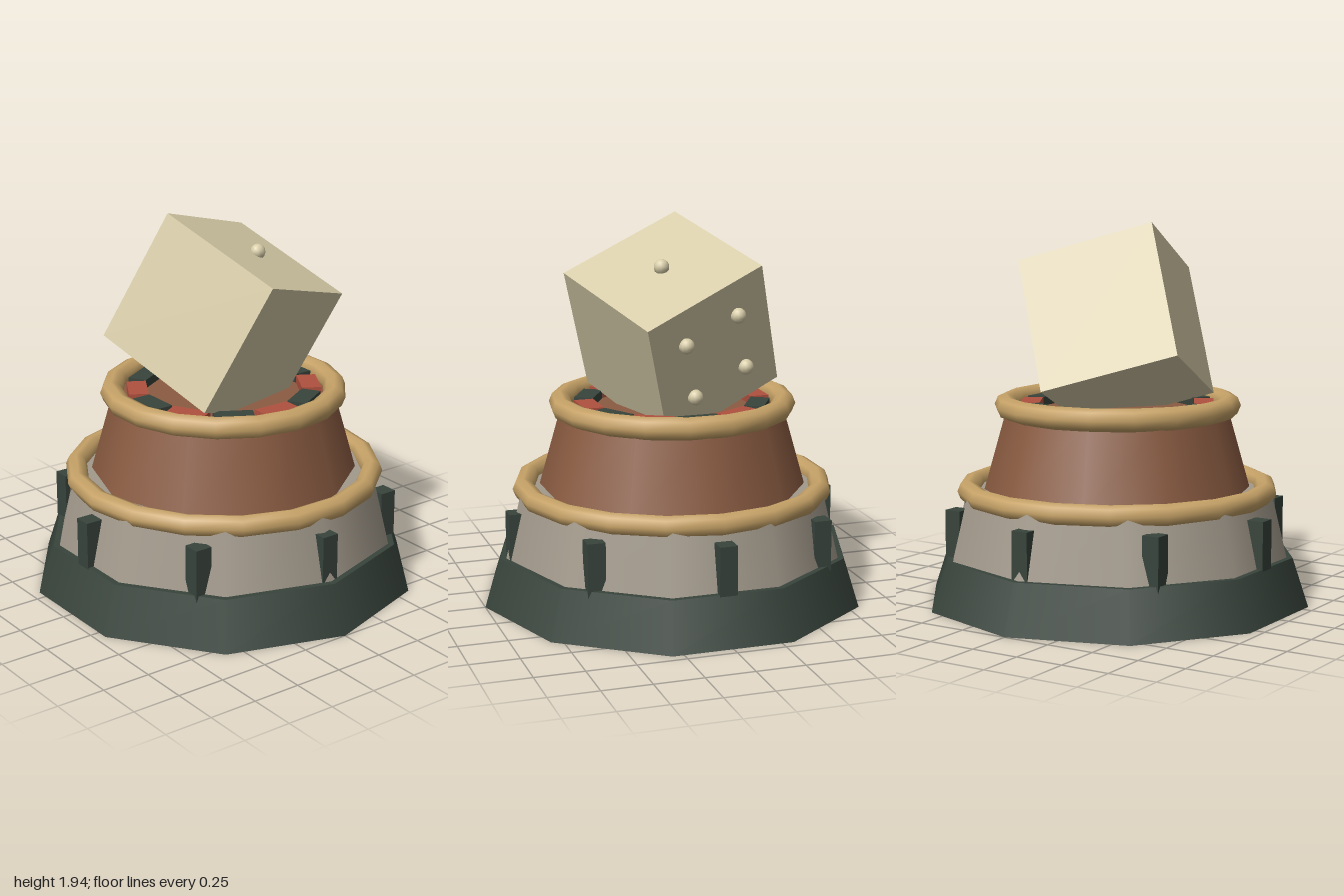
import * as THREE from 'three';

export function createModel() {
  const model = new THREE.Group();
  const mat = (name, color) => {
    const m = new THREE.MeshStandardMaterial({ color });
    m.name = name;
    return m;
  };
  const darkGreen = mat('dark green', 0x38443c);
  const stone = mat('stone grey', 0xa39a8c);
  const clay = mat('clay brown', 0x8b5c42);
  const gold = mat('gold', 0xc6a267);
  const red = mat('brick red', 0xb0513f);
  const ivory = mat('ivory', 0xd8cda9);

  const add = (name, geometry, material, x = 0, y = 0, z = 0, parent = model) => {
    const mesh = new THREE.Mesh(geometry, material);
    mesh.name = name;
    mesh.position.set(x, y, z);
    parent.add(mesh);
    return mesh;
  };

  // A ten-sided tapered tier between two heights
  const tier = (name, rTop, rBottom, y0, y1, material, turn = 0) => {
    const g = new THREE.CylinderGeometry(rTop, rBottom, y1 - y0, 10).rotateY(turn);
    return add(name, g, material, 0, (y0 + y1) / 2, 0);
  };
  tier('base', 0.917, 1, 0, 0.25, darkGreen);
  tier('stoneTier', 0.808, 0.893, 0.22, 0.57, stone);
  tier('clayTier', 0.57, 0.685, 0.57, 0.98, clay, Math.PI / 2);

  // Rounded rims
  const rim = (name, radius, tube, y, turn) =>
    add(name, new THREE.TorusGeometry(radius, tube, 8, 18).rotateX(Math.PI / 2).rotateY(turn), gold, 0, y, 0);
  rim('lowerRim', 0.77, 0.055, 0.57, 0);
  rim('upperRim', 0.575, 0.058, 1.003, Math.PI / 2);

  // Eight upright posts around the stone tier
  const postGeometry = new THREE.BoxGeometry(0.09, 0.3, 0.09);
  for (let i = 0; i < 8; i++) {
    const a = (i * Math.PI) / 4;
    add('post', postGeometry, darkGreen, 0.83 * Math.sin(a), 0.34, 0.83 * Math.cos(a));
  }

  // Alternating blocks inside the upper rim
  const blockGeometry = new THREE.BoxGeometry(0.1, 0.06, 0.2);
  for (let i = 0; i < 12; i++) {
    const a = (i * Math.PI) / 6;
    const block = add('rimBlock', blockGeometry, i % 2 ? red : darkGreen,
      0.442 * Math.cos(a), 0.995, 0.442 * Math.sin(a));
    block.rotation.y = -a;
  }

  // Tilted die, one pip on top and four on its left face
  const die = new THREE.Group();
  die.name = 'die';
  die.position.set(0, 1.4, 0);
  die.rotation.set(0.39, 0.228, -0.395);
  model.add(die);
  add('dieCube', new THREE.BoxGeometry(0.71, 0.71, 0.71), ivory, 0, 0, 0, die);
  const pipGeometry = new THREE.SphereGeometry(0.04, 10, 8);
  add('pip', pipGeometry, ivory, 0, 0.37, 0, die);
  for (const y of [-0.163, 0.163])
    for (const z of [-0.163, 0.163]) add('pip', pipGeometry, ivory, 0.37, y, z, die);

  return model;
}
